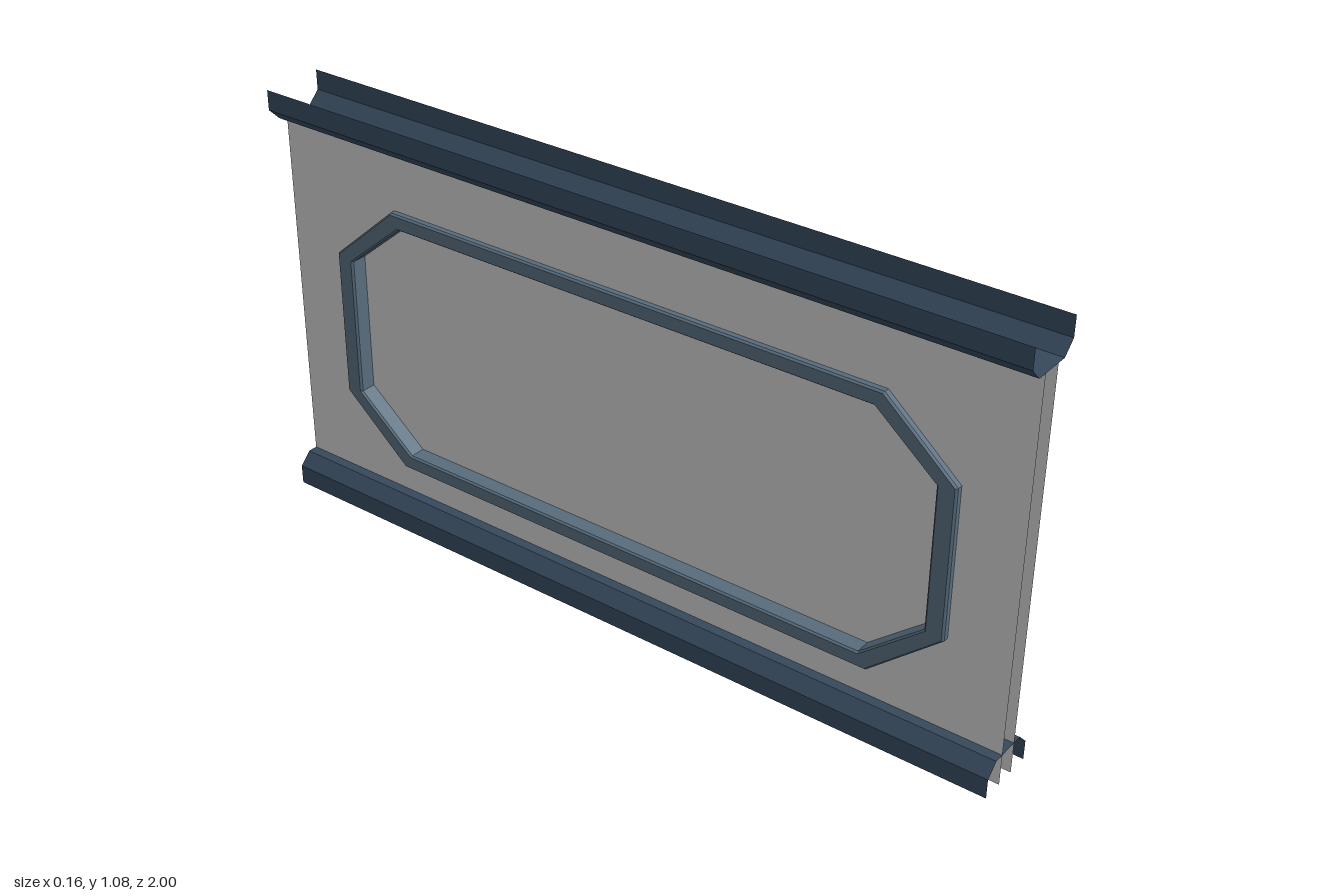
import * as THREE from 'three';

const DS = THREE.DoubleSide;

// Joins consecutive rows of points with flat quads
function loft(rows, closed) {
  const pos = [];
  for (let i = 0; i < rows.length - 1; i++) {
    const n = rows[i].length;
    for (let j = 0; j < (closed ? n : n - 1); j++) {
      const k = (j + 1) % n;
      const a = rows[i][j], b = rows[i][k], c = rows[i + 1][k], d = rows[i + 1][j];
      pos.push(...a, ...b, ...c, ...a, ...c, ...d);
    }
  }
  const g = new THREE.BufferGeometry();
  g.setAttribute('position', new THREE.Float32BufferAttribute(pos, 3));
  g.computeVertexNormals();
  return g;
}

// Chamfered rectangle as [z, y] corners, centred on height cy
function octagon(hz, hy, cz, cyHalf, cy) {
  return [
    [hz, -cyHalf], [hz, cyHalf], [cz, hy], [-cz, hy],
    [-hz, cyHalf], [-hz, -cyHalf], [-cz, -hy], [cz, -hy],
  ].map(([z, y]) => [z, y + cy]);
}

export function createModel() {
  const wallMat = new THREE.MeshStandardMaterial({ color: 0xcccccc, side: DS });
  wallMat.name = 'wall grey';
  const frameMat = new THREE.MeshStandardMaterial({ color: 0x586c7d, side: DS });
  frameMat.name = 'frame blue grey';
  const railMat = new THREE.MeshStandardMaterial({ color: 0x35495c, side: DS });
  railMat.name = 'rail dark blue';

  const group = new THREE.Group();
  group.name = 'wallPanel';
  const add = (name, geometry, material) => {
    const mesh = new THREE.Mesh(geometry, material);
    mesh.name = name;
    group.add(mesh);
    return mesh;
  };

  const inner = octagon(0.80, 0.307, 0.645, 0.178, 0.502);
  const outer = octagon(0.848, 0.346, 0.667, 0.188, 0.502);
  const points = (list) => list.map(([z, y]) => new THREE.Vector2(z, y));

  // Two wall sheets with the window opening
  const wall = new THREE.Shape(points([[-1, 0], [1, 0], [1, 1], [-1, 1]]));
  wall.holes.push(new THREE.Path(points(inner)));
  for (const s of [1, -1]) {
    const sheet = add(s > 0 ? 'leftWallSheet' : 'rightWallSheet', new THREE.ShapeGeometry(wall), wallMat);
    sheet.rotation.y = s * Math.PI / 2;
    sheet.position.x = s * 0.025;
  }

  // Pane in the middle of the opening
  add('windowPane', new THREE.ShapeGeometry(new THREE.Shape(points(inner))), wallMat).rotation.y = Math.PI / 2;

  // Window frame: [x, blend from inner to outer outline]
  const half = [[0.025, 1], [0.038, 1], [0.043, 0.9], [0.043, 0.1], [0.038, 0]];
  const section = [...half, ...half.map(([x, t]) => [-x, t]).reverse()];
  const frameRows = section.map(([x, t]) => inner.map(([z, y], i) => [
    x, y + (outer[i][1] - y) * t, z + (outer[i][0] - z) * t,
  ]));
  add('windowFrame', loft(frameRows, true), frameMat);

  // Channel rails: top one opens upward, bottom one downward
  const channel = [[-0.08, 0.08], [-0.08, 0.03], [-0.05, 0], [0.05, 0], [0.08, 0.03], [0.08, 0.08]];
  const rail = (fy) => loft([1, -1].map((z) => channel.map(([x, y]) => [x, fy(y), z * Math.sign(fy(1) - fy(0))])), false);
  add('topRail', rail((y) => 1 + y), railMat);
  add('bottomRail', rail((y) => 0.08 - y), railMat);

  return group;
}
